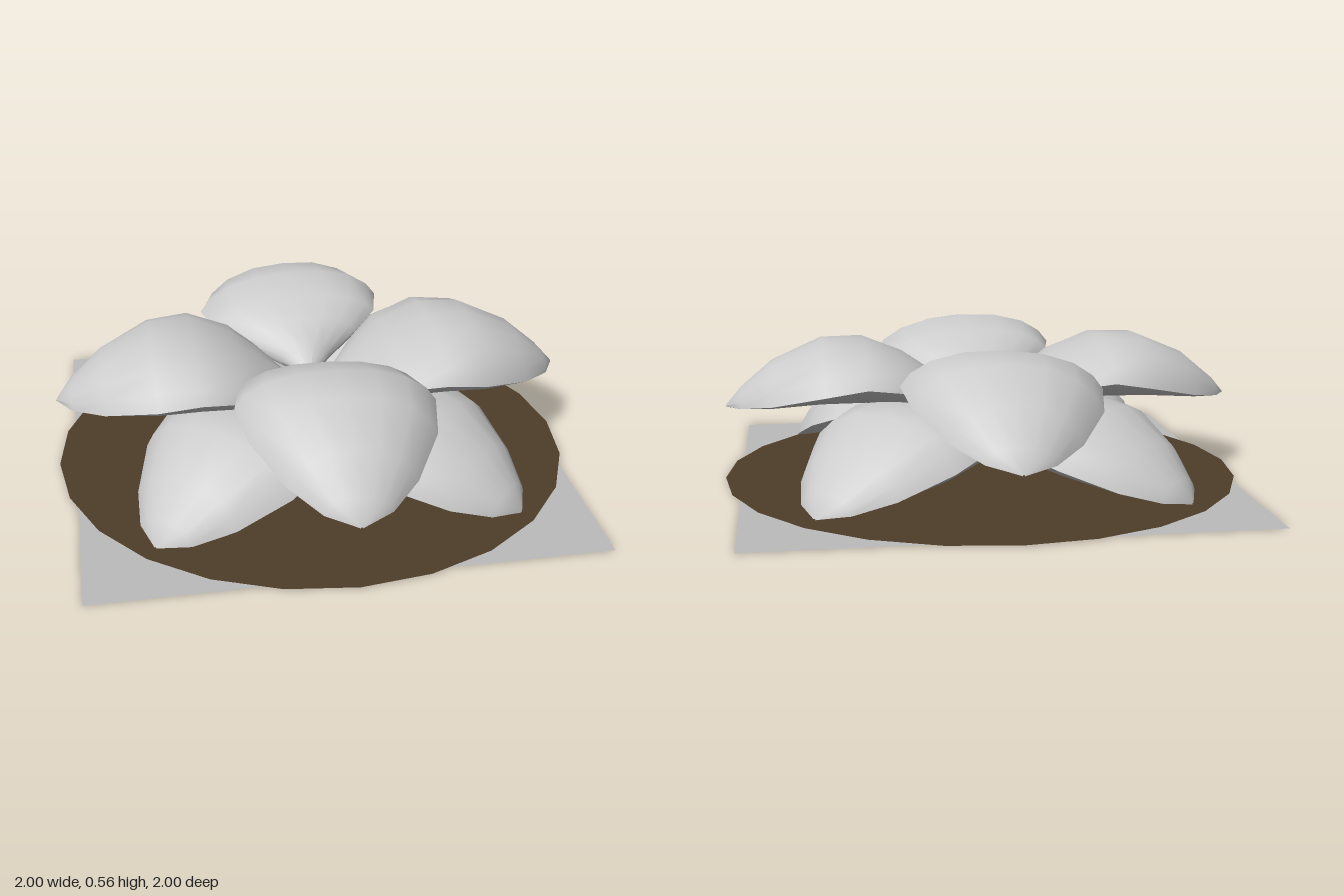
import * as THREE from 'three';
import { toCreasedNormals } from 'three/addons/utils/BufferGeometryUtils.js';

// Petal stations from base to tip: [distance, half width, rim, top, underside]
const STATIONS = [
  [0.00, 0.008, 0.24, 0.25, 0.20],
  [0.10, 0.10, 0.27, 0.33, 0.22],
  [0.20, 0.23, 0.33, 0.41, 0.26],
  [0.30, 0.33, 0.38, 0.475, 0.29],
  [0.46, 0.37, 0.405, 0.54, 0.31],
  [0.62, 0.34, 0.375, 0.54, 0.31],
  [0.81, 0.23, 0.325, 0.46, 0.302],
  [0.93, 0.12, 0.30, 0.36, 0.293],
  [0.99, 0.004, 0.29, 0.293, 0.287],
];

// Half cross-section from crown to keel: [share of width, share of height]
const HALF = [
  [0, 1], [0.38, 0.94], [0.7, 0.7], [0.9, 0.36], [1, 0],
  [0.9, -0.4], [0.5, -0.85], [0, -1],
];
const SECTION = [...HALF, ...HALF.slice(1, -1).reverse().map(([u, v]) => [-u, v])];

// Lofted petal along +x; lift and slope raise and tilt it, roll leans it sideways
function petalGeometry({ lift = 0, slope = 0, roll = 0, shift = 0, scale = 1 }) {
  const positions = [], index = [], n = SECTION.length;
  STATIONS.forEach(([r, w, rim, top, under], i) => {
    SECTION.forEach(([u, v], j) => {
      const z = u * w;
      const y = rim + (v > 0 ? v * (top - rim) : v * (rim - under));
      const side = shift * Math.sin(Math.PI * r);
      positions.push(r * scale, y + lift + slope * r * scale + roll * z, z + side);
      if (i === STATIONS.length - 1) return;
      const k = (j + 1) % n;
      const a = i * n + j, b = a + n, c = i * n + k, d = c + n;
      index.push(a, c, b, c, d, b);
    });
  });
  const geometry = new THREE.BufferGeometry();
  geometry.setAttribute('position', new THREE.Float32BufferAttribute(positions, 3));
  geometry.setIndex(index);
  return toCreasedNormals(geometry, 1.0);
}

export function createModel() {
  const model = new THREE.Group();
  model.name = 'flower';

  const petalGrey = new THREE.MeshStandardMaterial({ color: 0xcccccc });
  petalGrey.name = 'petal grey';
  const baseGrey = new THREE.MeshStandardMaterial({ color: 0xbcbcbc, side: THREE.DoubleSide });
  baseGrey.name = 'base grey';
  const soilBrown = new THREE.MeshStandardMaterial({ color: 0x4e3e2a, side: THREE.DoubleSide });
  soilBrown.name = 'soil brown';

  // Flat square base and round soil disc just above it
  const base = new THREE.Mesh(new THREE.PlaneGeometry(1.87, 1.87).rotateX(-Math.PI / 2), baseGrey);
  base.name = 'squareBase';
  const soil = new THREE.Mesh(new THREE.CircleGeometry(1, 24).rotateX(-Math.PI / 2), soilBrown);
  soil.name = 'soilDisc';
  soil.position.y = 0.004;
  model.add(base, soil);

  // A ring of equal petals, evenly turned about the centre
  function addRing(name, count, startAngle, options) {
    const geometry = petalGeometry(options);
    const ring = new THREE.Group();
    ring.name = name + 's';
    for (let i = 0; i < count; i++) {
      const petal = new THREE.Mesh(geometry, petalGrey);
      petal.name = name;
      petal.rotation.y = startAngle + (i * 2 * Math.PI) / count;
      ring.add(petal);
    }
    model.add(ring);
  }

  // Upper side pair, upper front and back pair, four lower diagonal petals
  addRing('upperSidePetal', 2, 0, {});
  addRing('upperFrontBackPetal', 2, Math.PI / 2, { lift: 0.08, slope: -0.135, roll: 0.04, shift: -0.015 });
  addRing('lowerPetal', 4, Math.PI / 4, { lift: -0.13, slope: -0.145, scale: 0.96 });

  return model;
}
